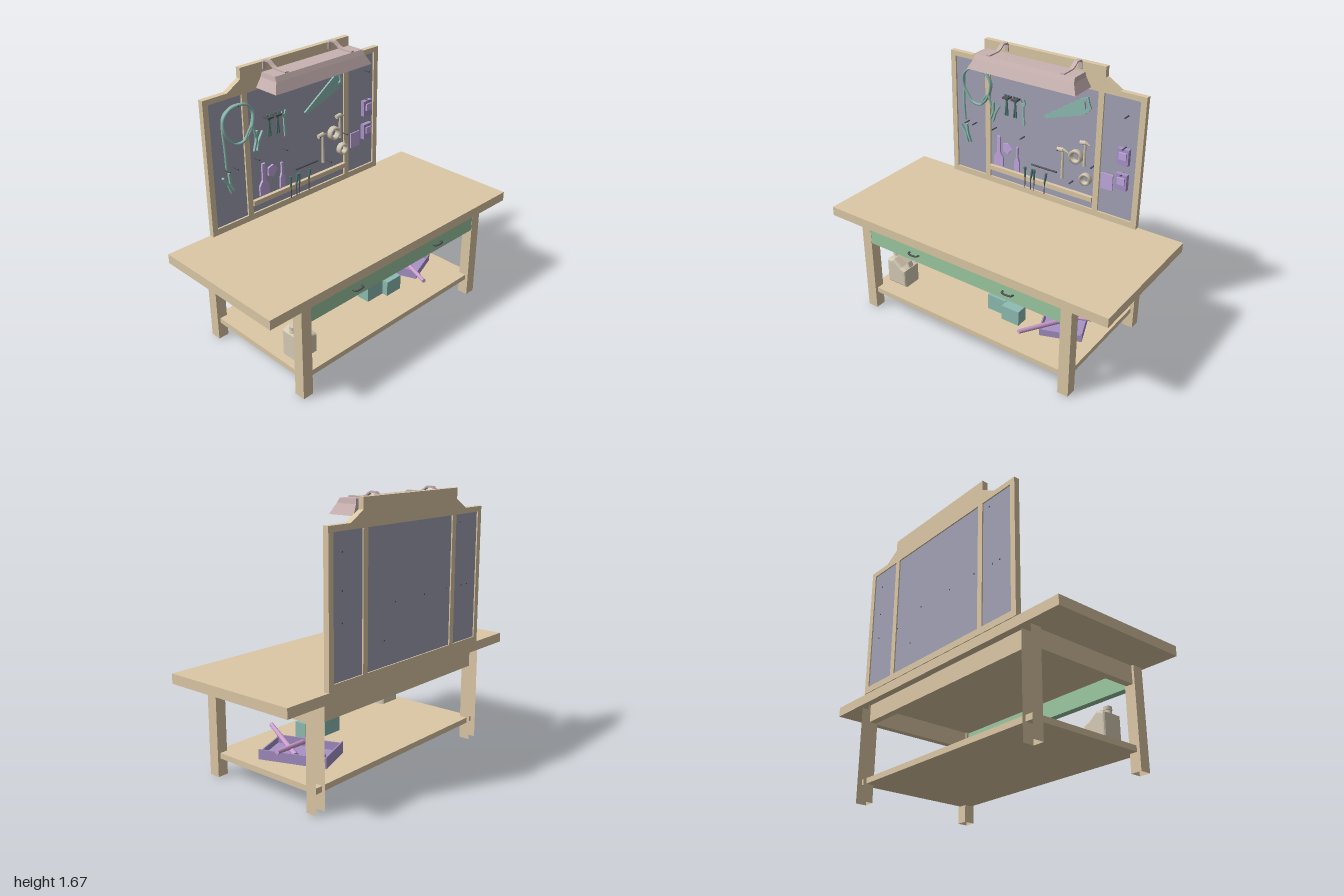
import * as THREE from 'three';

const V = (x, y, z) => new THREE.Vector3(x, y, z);
const mats = {};
const mat = (color) => (mats[color] ??= new THREE.MeshStandardMaterial({ color, side: THREE.DoubleSide }));
const WOOD = 0xdcc8a6, PANEL = 0xa2a2b6, GREEN = 0x9cc9a2, TEAL = 0x8dbcb2, DARK = 0x4f7872,
  PURPLE = 0xa893c8, LILAC = 0xc3a8e0, PINK = 0xcf9fd0, CREAM = 0xd6cbb6, LAMP = 0xc9b2b2, STEEL = 0x55555c;

export function createModel() {
  const root = new THREE.Group();
  const add = (name, geo, color, parent = root) => {
    const m = new THREE.Mesh(geo, mat(color));
    m.name = name;
    parent.add(m);
    return m;
  };
  // Box from its limits; open = indices of sides left out (+x -x +y -y +z -z)
  const box = (name, color, [x0, x1], [y0, y1], [z0, z1], open = [], parent = root) => {
    const g = new THREE.BoxGeometry(x1 - x0, y1 - y0, z1 - z0);
    g.translate((x0 + x1) / 2, (y0 + y1) / 2, (z0 + z1) / 2);
    if (open.length) g.setIndex([...g.index.array].filter((_, i) => !open.includes(Math.floor(i / 6))));
    return add(name, g, color, parent);
  };
  // Flat outline in x-y pushed out along z
  const path = (pts) => pts.map(([x, y]) => new THREE.Vector2(x, y));
  const plate = (name, color, pts, z, depth, holes = [], parent = root) => {
    const s = new THREE.Shape(path(pts));
    holes.forEach((h) => s.holes.push(new THREE.Path(path(h))));
    const g = new THREE.ExtrudeGeometry(s, { depth, bevelEnabled: false });
    return add(name, g.translate(0, 0, z), color, parent);
  };
  const rect = (x0, x1, y0, y1) => [[x0, y0], [x1, y0], [x1, y1], [x0, y1]];
  // Round bar between two points
  const rod = (name, color, a, b, r0, r1 = r0, sides = 8, parent = root) => {
    const m = add(name, new THREE.CylinderGeometry(r1, r0, a.distanceTo(b), sides), color, parent);
    m.position.copy(a).add(b).multiplyScalar(0.5);
    m.quaternion.setFromUnitVectors(V(0, 1, 0), b.clone().sub(a).normalize());
    return m;
  };
  const tube = (name, color, pts, r, n = 40, parent = root) =>
    add(name, new THREE.TubeGeometry(new THREE.CatmullRomCurve3(pts), n, r, 6), color, parent);

  // Table
  box('tableTop', WOOD, [-1, 1], [0.61, 0.67], [-0.45, 0.45]);
  for (const s of [-1, 1]) {
    const xs = s > 0 ? [0.7, 0.77] : [-0.77, -0.7];
    box('frontLeg', WOOD, xs, [0, 0.61], [0.36, 0.43], [3]);
    box('backLeg', WOOD, xs, [0, 0.61], [-0.42, -0.35], [3, 5]);
    box('sideApron', WOOD, s > 0 ? [0.71, 0.755] : [-0.755, -0.71], [0.5, 0.61], [-0.35, 0.36]);
  }
  box('backApron', WOOD, [-0.7, 0.7], [0.5, 0.61], [-0.405, -0.36]);
  box('lowerShelf', WOOD, [-0.75, 0.75], [0.11, 0.145], [-0.4, 0.41]);
  box('drawerFront', GREEN, [-0.7, 0.7], [0.497, 0.608], [0.38, 0.428]);
  for (const x of [-0.345, 0.35]) {
    tube('drawerHandle', STEEL, [V(x - 0.036, 0.55, 0.425), V(x - 0.03, 0.55, 0.447),
      V(x + 0.03, 0.55, 0.447), V(x + 0.036, 0.55, 0.425)], 0.006, 16);
  }

  // Tool board with raised crest
  plate('boardFrame', WOOD, [[-0.7, 0.67], [0.7, 0.67], [0.7, 1.53], [0.53, 1.53], [0.43, 1.59], [0.43, 1.655],
    [-0.43, 1.655], [-0.43, 1.59], [-0.53, 1.53], [-0.7, 1.53]], -0.455, 0.035,
  [rect(-0.663, -0.428, 0.71, 1.497), rect(-0.39, 0.39, 0.71, 1.497), rect(0.428, 0.663, 0.71, 1.497)]);
  box('pegPanel', PANEL, [-0.68, 0.68], [0.69, 1.51], [-0.447, -0.432]);
  box('toolRail', WOOD, [-0.39, 0.39], [0.765, 0.797], [-0.435, -0.408]);

  // Hooded lamp: rings of four corners, open below
  const hood = new THREE.Group();
  hood.name = 'lamp';
  root.add(hood);
  const rings = [[0.38, 0.172, 0.345, 1.545], [0.35, 0.202, 0.337, 1.605], [0.345, 0.218, 0.332, 1.633]];
  const pos = [], idx = [];
  rings.forEach(([w, zf, zb, y]) => pos.push(-w, y, -zf, w, y, -zf, w, y, -zb, -w, y, -zb));
  for (let r = 0; r < 2; r++) for (let i = 0; i < 4; i++) {
    const a = r * 4 + i, b = r * 4 + (i + 1) % 4;
    idx.push(a, b, b + 4, a, b + 4, a + 4);
  }
  idx.push(8, 9, 10, 8, 10, 11);
  let shade = new THREE.BufferGeometry();
  shade.setAttribute('position', new THREE.Float32BufferAttribute(pos, 3));
  shade.setIndex(idx);
  shade = shade.toNonIndexed();
  shade.computeVertexNormals();
  add('lampShade', shade, LAMP, hood);
  for (const x of [-0.257, 0.262]) {
    // Strap profile drawn in z-y, turned to run across x
    const outer = [[-0.22, 1.641], [-0.31, 1.641], [-0.335, 1.65], [-0.365, 1.672], [-0.405, 1.67], [-0.42, 1.655], [-0.42, 1.61]];
    const inner = [[-0.412, 1.61], [-0.412, 1.65], [-0.402, 1.66], [-0.368, 1.662], [-0.335, 1.64], [-0.31, 1.632], [-0.22, 1.632]];
    const strap = plate('lampArm', LAMP, [...outer, ...inner], -0.0125, 0.025, [], hood);
    strap.rotation.y = -Math.PI / 2;
    strap.position.x = x;
  }

  // Coiled cable with a clamp on each end
  const coil = [V(-0.58, 1.08, -0.405), V(-0.585, 1.2, -0.402)];
  for (let i = 0; i <= 30; i++) {
    const a = Math.PI - i * Math.PI / 5 * 0.9, k = 0.108 + 0.008 * Math.sin(i * 1.7);
    coil.push(V(-0.48 + k * Math.cos(a), 1.34 + (k + 0.012) * Math.sin(a), -0.409 + 0.016 * (i / 30)));
  }
  coil.push(V(-0.39, 1.3, -0.393), V(-0.36, 1.22, -0.395));
  tube('cable', TEAL, coil, 0.0075, 200);
  const clamp = (x, y, turn) => {
    const g = new THREE.Group();
    g.name = 'cableClamp';
    for (const s of [-1, 1]) {
      plate('clampJaw', TEAL, [[s * 0.03, 0.06], [s * 0.018, 0.065], [s * 0.002, 0], [s * 0.008, -0.06],
        [s * 0.016, -0.065], [s * 0.016, 0]], -0.008, 0.016, [], g);
    }
    g.position.set(x, y, -0.402);
    g.rotation.z = turn;
    root.add(g);
  };
  clamp(-0.57, 0.985, 0.35);
  clamp(-0.345, 1.19, -0.3);

  // Pliers and spanner
  for (const x of [-0.25, -0.185]) {
    for (const s of [-1, 1]) {
      rod('plierHandle', DARK, V(x, 1.29, -0.405), V(x + s * 0.009, 1.19, -0.405), 0.006);
      rod('plierJaw', DARK, V(x, 1.29, -0.405), V(x + s * 0.014, 1.33, -0.405), 0.008, 0.005);
    }
    box('plierPeg', STEEL, [x - 0.022, x + 0.022], [1.305, 1.317], [-0.432, -0.385]);
  }
  plate('spanner', TEAL, [[-0.13, 1.15], [-0.115, 1.15], [-0.112, 1.17], [-0.118, 1.185], [-0.122, 1.275], [-0.11, 1.295],
    [-0.118, 1.325], [-0.125, 1.3], [-0.135, 1.3], [-0.145, 1.32], [-0.146, 1.293], [-0.135, 1.275], [-0.131, 1.18]], -0.415, 0.01);

  // Hand saw with toothed lower edge
  const saw = [[0.03, 1.26], [0.288, 1.435], [0.335, 1.455], [0.345, 1.42], [0.36, 1.385], [0.315, 1.335]];
  for (let i = 1; i <= 24; i++) saw.push([0.315 - i * 0.0108, 1.335 - i * 0.0036 + (i % 2) * 0.005]);
  plate('saw', TEAL, saw, -0.41, 0.012, [[[0.312, 1.42], [0.328, 1.435], [0.338, 1.39], [0.32, 1.375]]]);

  // Hammers and tape rolls
  for (const [x, y, len, w] of [[0.178, 1.06, 0.185, 0.04], [0.332, 1.148, 0.145, 0.034]]) {
    rod('hammerHandle', CREAM, V(x, y - len, -0.4), V(x, y, -0.4), 0.011, 0.007);
    rod('hammerHead', CREAM, V(x - w, y + 0.006, -0.4), V(x + 0.005, y + 0.012, -0.4), 0.014);
    rod('hammerClaw', CREAM, V(x, y + 0.014, -0.4), V(x + w, y - 0.002, -0.4), 0.012, 0.004);
  }
  for (const [x, y, r] of [[0.273, 1.053, 0.045], [0.348, 0.92, 0.039]]) {
    const profile = [[r * 0.6, -0.016], [r, -0.016], [r, 0.016], [r * 0.6, 0.016], [r * 0.6, -0.016]];
    const roll = add('tapeRoll', new THREE.LatheGeometry(path(profile), 28), CREAM);
    roll.rotation.x = Math.PI / 2;
    roll.position.set(x, y, -0.395);
  }

  // Scrapers, putty blade, pouches and note
  for (const [x, w, top] of [[-0.31, 0.036, 1.03], [-0.165, 0.019, 0.99]]) {
    plate('scraper', LILAC, [[x - w, 0.82], [x + w, 0.82], [x + w, 0.885], [x + w * 0.35, 0.92], [x + w * 0.35, top],
      [x - w * 0.35, top], [x - w * 0.35, 0.92], [x - w, 0.885]], -0.412, 0.014);
  }
  plate('puttyBlade', LILAC, [[-0.275, 0.985], [-0.235, 1.0], [-0.2, 0.965], [-0.24, 0.92], [-0.275, 0.935]], -0.412, 0.012);
  for (const y of [0.975, 1.14]) {
    box('pouch', PURPLE, [0.55, 0.625], [y - 0.055, y + 0.05], [-0.425, -0.395]);
    box('pouchFlap', LILAC, [0.565, 0.615], [y - 0.015, y + 0.03], [-0.395, -0.385]);
  }
  box('noteCard', LILAC, [0.445, 0.525], [0.885, 0.99], [-0.42, -0.412]);

  // Screwdrivers in the rail, bar above, and pegs
  rod('longBar', STEEL, V(-0.055, 0.9, -0.405), V(0.135, 0.9, -0.405), 0.006);
  for (const [x, lean] of [[-0.1, 0], [-0.055, 0.012], [-0.03, 0], [0.05, 0.012]]) {
    rod('driverHandle', DARK, V(x, 0.797, -0.4), V(x + lean, 0.87, -0.4), 0.006, 0.009);
    rod('driverShaft', STEEL, V(x, 0.72, -0.4), V(x, 0.8, -0.4), 0.003);
  }
  for (const [x, y] of [[0.588, 1.39], [-0.57, 1.064], [-0.51, 1.064], [-0.35, 1.07], [-0.13, 1.064], [0.145, 1.064],
    [0.24, 0.86], [0.385, 1.01], [0.588, 1.19], [0.588, 1.02], [-0.48, 1.45]]) {
    rod('peg', STEEL, V(x, y, -0.449), V(x, y, -0.385), 0.005, 0.005, 6);
  }

  // Jerry can: bevelled body, looped handle, neck and cap
  const can = new THREE.Group();
  can.name = 'jerryCan';
  root.add(can);
  const body = new THREE.ExtrudeGeometry(new THREE.Shape(path([[-0.685, 0.16], [-0.56, 0.16], [-0.56, 0.262], [-0.59, 0.272],
    [-0.645, 0.315], [-0.685, 0.3]])), { depth: 0.1, bevelThickness: 0.018, bevelSize: 0.014, bevelSegments: 3 });
  add('canBody', body.translate(0, 0, 0.19), CREAM, can);
  plate('canHandle', CREAM, [[-0.655, 0.3], [-0.56, 0.25], [-0.548, 0.28], [-0.562, 0.308], [-0.62, 0.347], [-0.65, 0.342]],
    0.222, 0.036, [[[-0.637, 0.315], [-0.585, 0.28], [-0.567, 0.288], [-0.578, 0.304], [-0.622, 0.332]]], can);
  rod('canNeck', CREAM, V(-0.667, 0.29, 0.24), V(-0.667, 0.34, 0.24), 0.03, 0.02, 16, can);
  rod('canCap', CREAM, V(-0.667, 0.335, 0.24), V(-0.667, 0.357, 0.24), 0.025, 0.025, 16, can);

  // Cartons
  box('carton', TEAL, [0.016, 0.15], [0.145, 0.25], [0.08, 0.17]);
  box('carton', TEAL, [0.15, 0.275], [0.145, 0.245], [0.13, 0.21]);

  // Tray of loose tools, turned on the shelf
  const tray = new THREE.Group();
  tray.name = 'toolTray';
  tray.position.set(0.475, 0.146, -0.03);
  tray.rotation.y = 0.36;
  root.add(tray);
  box('trayBase', PURPLE, [-0.13, 0.13], [0, 0.01], [-0.21, 0.21], [], tray);
  for (const s of [-1, 1]) {
    box('traySide', PURPLE, s > 0 ? [0.122, 0.13] : [-0.13, -0.122], [0, 0.06], [-0.21, 0.21], [], tray);
    box('trayEnd', PURPLE, [-0.13, 0.13], [0, s < 0 ? 0.07 : 0.045], s > 0 ? [0.202, 0.21] : [-0.21, -0.202], [], tray);
  }
  rod('looseTool', PINK, V(0.36, 0.22, 0.335), V(0.54, 0.175, -0.05), 0.013, 0.017, 10);
  rod('looseTool', PINK, V(0.66, 0.222, -0.02), V(0.36, 0.182, 0.05), 0.013, 0.015, 10);
  rod('looseTool', PURPLE, V(0.42, 0.175, -0.17), V(0.55, 0.175, -0.08), 0.015, 0.015, 10);

  return root;
}
